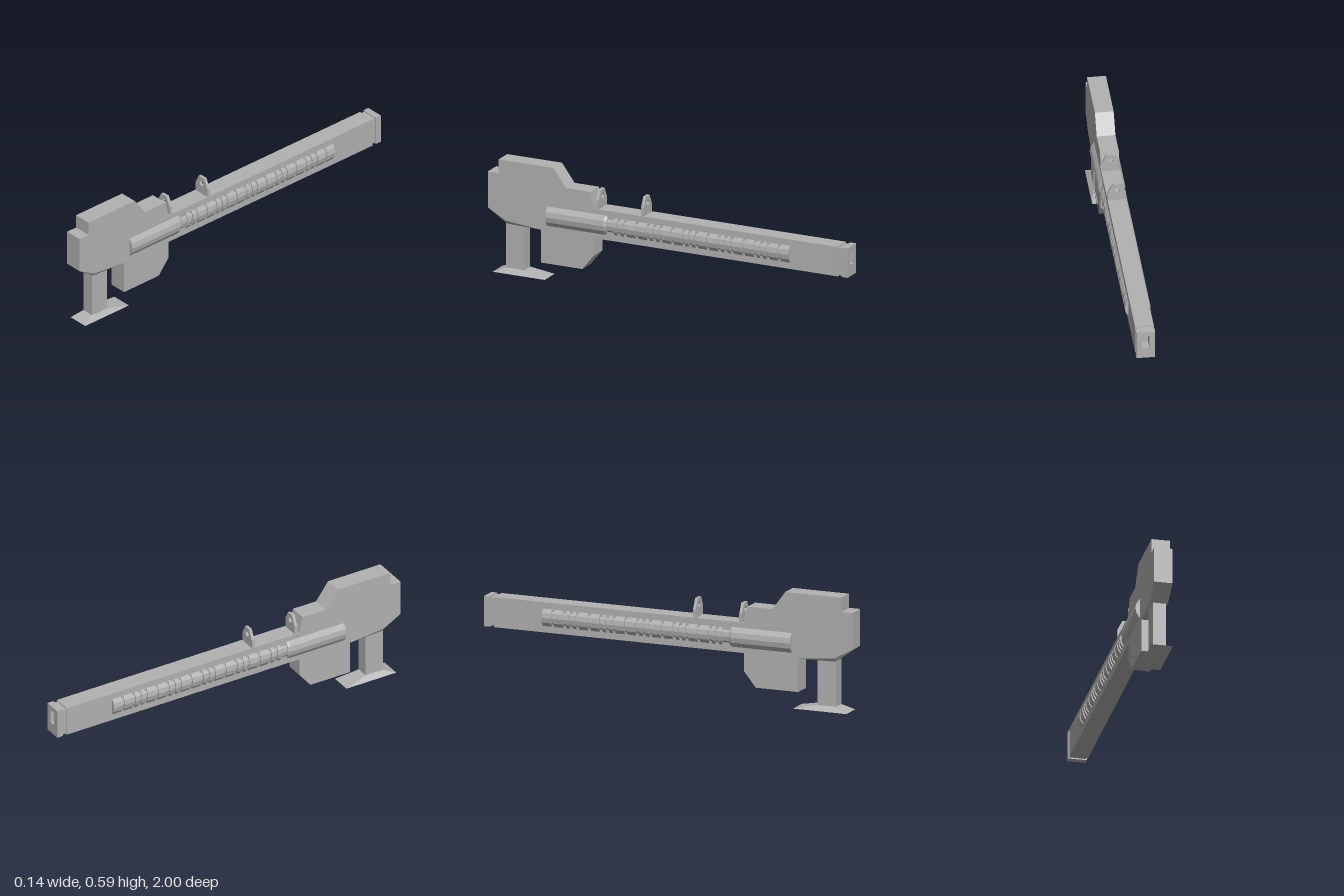
import * as THREE from 'three';
import { ConvexGeometry } from 'three/addons/geometries/ConvexGeometry.js';

const V = (x, y, z) => new THREE.Vector3(x, y, z);
const poly = (pts) => new THREE.Shape(pts.map(([a, b]) => new THREE.Vector2(a, b)));

// Extrude a shape by depth, centred on its own plane
function slab(shape, depth) {
  const g = new THREE.ExtrudeGeometry(shape, { depth, bevelEnabled: false, curveSegments: 4 });
  return g.translate(0, 0, -depth / 2);
}
// Side profile given as [z, y], extruded across x
const sideSlab = (shape, width) => slab(shape, width).rotateY(-Math.PI / 2);

export function createModel() {
  const group = new THREE.Group();
  const grey = new THREE.MeshStandardMaterial({ color: 0xb2b2b2, flatShading: true });
  grey.name = 'grey metal';
  const add = (name, geometry, x = 0, y = 0, z = 0) => {
    const mesh = new THREE.Mesh(geometry, grey);
    mesh.name = name;
    mesh.position.set(x, y, z);
    group.add(mesh);
  };
  const box = (name, w, y0, y1, z0, z1) =>
    add(name, new THREE.BoxGeometry(w, y1 - y0, z1 - z0), 0, (y0 + y1) / 2, (z0 + z1) / 2);

  const W = 0.094, H = W / 2, AXIS = 0.333;

  // Main housing with a tapered, chamfered underside
  add('housing', sideSlab(poly([
    [1, 0.33], [1, 0.518], [0.94, 0.518], [0.94, 0.59], [0.635, 0.59], [0.565, 0.495],
    [0.43, 0.495], [0.41, 0.41], [0.41, 0.256], [0.7, 0.256], [0.9, 0.275],
  ]), W));
  add('housingUnderside', new ConvexGeometry([-1, 1].flatMap((s) => [
    V(s * H, 0.33, 1), V(s * H, 0.275, 0.9), V(s * 0.033, 0.256, 0.9), V(s * H, 0.256, 0.7),
  ])));

  // Square barrel, shallow groove and bored muzzle block
  box('barrel', W, 0.256, 0.41, -0.945, 0.41);
  const rect = (w, y0, y1) => [[-w, y0], [w, y0], [w, y1], [-w, y1]];
  const bored = (inset) => {
    const s = poly(rect(H - inset, 0.256 + inset, 0.41 - inset));
    s.holes.push(poly(rect(0.018, 0.315, 0.385)));
    return s;
  };
  add('muzzleGroove', slab(bored(0.006), 0.022), 0, 0, -0.956);
  add('muzzleBlock', slab(bored(0), 0.033), 0, 0, -0.9835);

  // Faceted side tube showing on both flanks
  const tube = (name, r, z0, z1, rBack = r) =>
    add(name, new THREE.CylinderGeometry(r, rBack, z1 - z0, 16).rotateX(Math.PI / 2), 0, AXIS, (z0 + z1) / 2);
  tube('sideTube', 0.0695, 0.348, 0.67);
  tube('sideTubeEnd', 0.0695, 0.335, 0.348, 0.064);

  // Ribbed cooling strip: a core with repeated groups of rings
  tube('ribCore', 0.058, -0.665, 0.335);
  const pattern = [[0, 0.05], [0.064, 0.084], [0.1, 0.12], [0.135, 0.185]];
  for (let i = 0; i < 6; i++) {
    for (const [a, b] of pattern) {
      const front = 0.36 - i * 0.198 - a;
      const back = front - (b - a);
      if (front > 0.335 || back < -0.685) continue;
      tube('coolingRib', 0.065, back, front);
    }
  }

  // Sling lugs with holes
  for (const z of [0.392, 0.142]) {
    const s = poly([[-0.045, 0.405], [0.045, 0.405], [0.045, 0.455], [0.02, 0.505], [-0.02, 0.505], [-0.045, 0.455]]);
    s.holes.push(new THREE.Path().absarc(0, 0.47, 0.015, 0, Math.PI * 2, true));
    add('slingLug', slab(s, 0.015), 0, 0, z);
  }

  // Magazine: core with a raised rim around a recessed panel on each side
  const magazine = [[0.705, 0.256], [0.705, 0.085], [0.475, 0.085], [0.41, 0.165], [0.41, 0.256]];
  add('magazineCore', sideSlab(poly(magazine), W - 0.012));
  const rim = poly(magazine);
  rim.holes.push(poly([[0.687, 0.243], [0.687, 0.1], [0.482, 0.1], [0.424, 0.171], [0.424, 0.243]]));
  for (const s of [-1, 1]) add('magazineRim', sideSlab(rim, 0.006), s * (H - 0.003));

  // Grip post and flared foot
  box('grip', 0.066, 0.02, 0.262, 0.805, 0.905);
  add('foot', new ConvexGeometry([-1, 1].flatMap((s) => [
    V(s * 0.055, 0, 0.97), V(s * 0.055, 0, 0.68), V(s * 0.033, 0.026, 0.905), V(s * 0.033, 0.026, 0.805),
  ])));

  return group;
}
